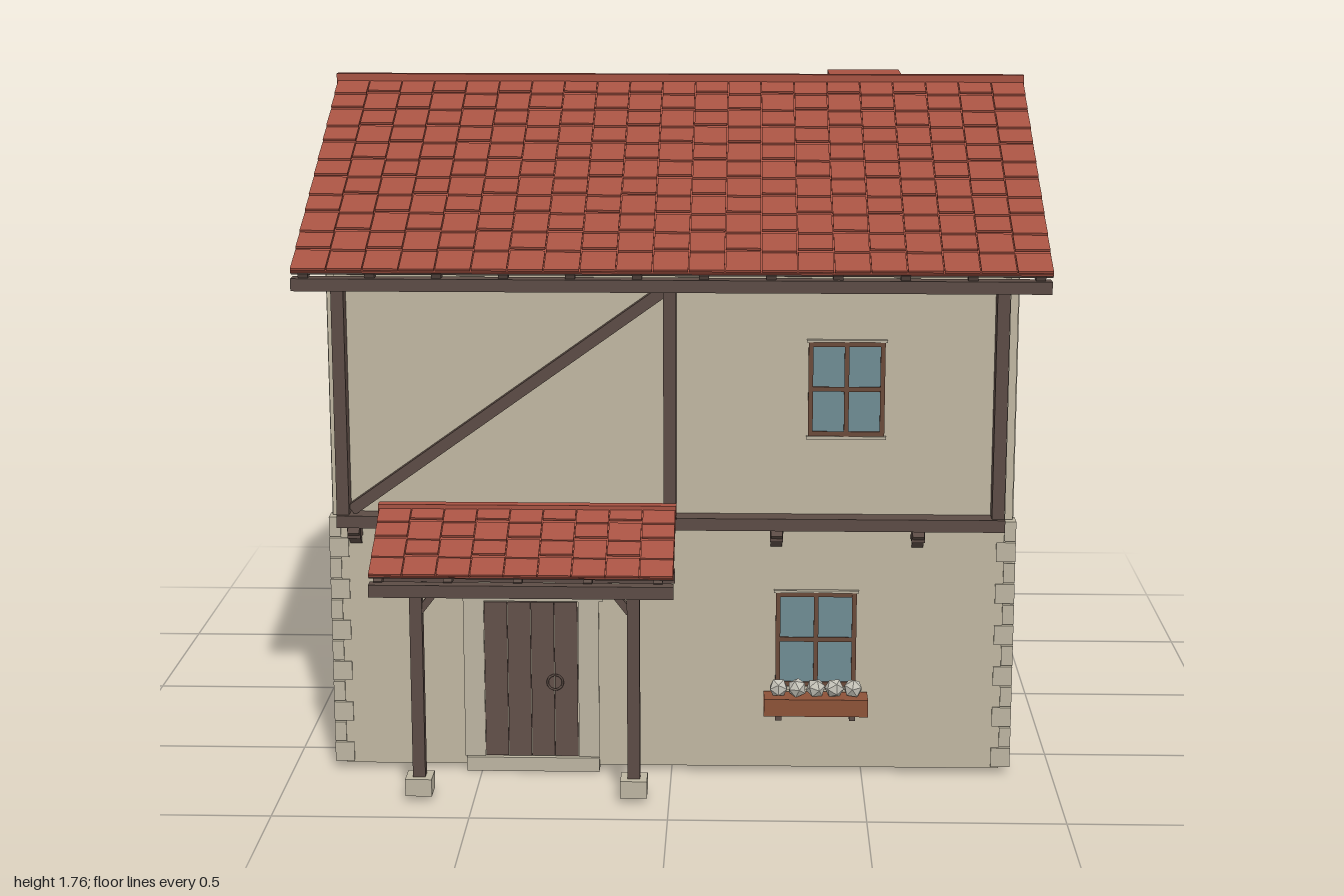
import * as THREE from 'three';
import { mergeGeometries } from 'three/addons/utils/BufferGeometryUtils.js';

const mat = (name, color) => {
  const m = new THREE.MeshStandardMaterial({ color });
  m.name = name;
  return m;
};

export function createModel() {
  const house = new THREE.Group();
  house.name = 'house';
  const plaster = mat('plaster', 0xc0b7a1);
  const stone = mat('stone', 0xbdb5a1);
  const tile = mat('roofTile', 0xa65242);
  const wood = mat('darkWood', 0x5c4c45);
  const doorWood = mat('doorWood', 0x625049);
  const frameWood = mat('frameWood', 0x6a4a3a);
  const glass = mat('glass', 0x6f8c94);
  const planter = mat('planterWood', 0x8c5238);
  const petal = mat('petals', 0xc4c2b8);

  const add = (name, geo, m, parent = house) => {
    const mesh = new THREE.Mesh(geo, m);
    mesh.name = name;
    parent.add(mesh);
    return mesh;
  };
  // Box given by its extents on each axis
  const box = (name, m, x0, x1, y0, y1, z0, z1, parent = house) => {
    const b = add(name, new THREE.BoxGeometry(x1 - x0, y1 - y0, z1 - z0), m, parent);
    b.position.set((x0 + x1) / 2, (y0 + y1) / 2, (z0 + z1) / 2);
    return b;
  };
  // Square timber running between two points
  const beam = (name, a, b, w, h, m = wood) => {
    const p = new THREE.Vector3(...a), q = new THREE.Vector3(...b);
    const mesh = add(name, new THREE.BoxGeometry(w, h, p.distanceTo(q)), m);
    mesh.position.copy(p).add(q).multiplyScalar(0.5);
    mesh.lookAt(q);
    return mesh;
  };

  // Walls: gabled body with slightly proud front and back faces
  const gable = new THREE.Shape([[-0.89, 0.015], [0.62, 0.015], [0.62, 1.37], [-0.14, 1.722], [-0.89, 1.37]]
    .map(p => new THREE.Vector2(...p)));
  const body = new THREE.ExtrudeGeometry(gable, { depth: 1.77, bevelEnabled: false });
  body.rotateY(-Math.PI / 2).translate(0.885, 0, 0);
  add('gabledWalls', body, plaster);
  box('lowerWalls', plaster, -0.86, 0.86, 0.015, 0.69, -0.915, 0.65);
  box('upperWalls', plaster, -0.86, 0.86, 0.69, 1.345, -0.91, 0.66);

  // Corner stones, alternating long and short
  for (const sx of [-1, 1]) for (const [z, sz] of [[0.65, 1], [-0.915, -1]]) {
    for (let i = 0; i < 12; i++) {
      const w = i % 2 ? 0.03 : 0.05, d = i % 2 ? 0.05 : 0.03, y = 0.02 + i * 0.056;
      const q = box('cornerStone', stone, -w / 2, w / 2, y, y + 0.052, -d / 2, d / 2);
      q.position.x = sx * (0.89 - w / 2);
      q.position.z = z + sz * (0.004 - d / 2);
    }
    const strip = box('cornerPlaster', plaster, -0.012, 0.012, 0.69, 1.345, -0.012, 0.012);
    strip.position.x = sx * 0.869;
    strip.position.z = z - sz * 0.024;
  }

  // Tiled slope: local +z runs from the ridge down to the eave
  const slope = (name, x0, x1, [zr, yr], [ze, ye], rows, cols) => {
    const g = new THREE.Group();
    g.name = name;
    const run = Math.abs(ze - zr), len = Math.hypot(run, yr - ye), step = len / rows, w = (x1 - x0) / cols;
    box('roofBoards', wood, x0, x1, -0.012, -0.003, 0, len - 0.01, g);
    box('tileBed', tile, x0, x1, -0.003, 0.002, 0, len - 0.004, g);
    const tiles = [];
    for (let r = 0; r < rows; r++) for (let c = 0; c < cols; c++) {
      const short = (c + r) % 2 && r < rows - 1 ? 0.014 : 0;
      const t = new THREE.BoxGeometry(w * 0.97, 0.006, step * 1.08 - short);
      t.translate(0, 0.004, (step * 1.08 - short) / 2);
      t.rotateX(-0.07);
      t.translate(x0 + (c + 0.5) * w, 0, r * step - step * 0.08);
      tiles.push(t);
    }
    add('tiles', mergeGeometries(tiles), tile, g);
    g.rotation.order = 'YXZ';
    g.rotation.x = Math.atan2(yr - ye, run);
    if (ze < zr) { g.rotation.y = Math.PI; g.scale.x = 1; }
    g.position.set(0, yr, zr);
    house.add(g);
  };
  slope('frontRoof', -0.96, 0.96, [-0.14, 1.743], [0.715, 1.34], 11, 21);
  slope('backRoof', -0.96, 0.96, [-0.14, 1.743], [-0.995, 1.34], 11, 21);
  box('ridgeCap', tile, -0.962, 0.96, 1.735, 1.765, -0.155, -0.125);

  // Eave beams and rafter tails
  box('frontEaveBeam', wood, -0.96, 0.957, 1.293, 1.325, 0.672, 0.715);
  box('backEaveBeam', wood, -0.96, 0.957, 1.293, 1.325, -0.997, -0.957);
  for (let i = 0; i < 12; i++) {
    const x = -0.93 + i * 0.169;
    beam('frontRafter', [x, 1.375, 0.6], [x, 1.325, 0.7], 0.025, 0.024);
    beam('backRafter', [x, 1.38, -0.86], [x, 1.32, -0.985], 0.025, 0.024);
  }

  // Gable timbers
  for (const s of [-1, 1]) {
    const x = s * 0.885;
    box('gableTie', wood, x - 0.015, x + 0.015, 1.345, 1.375, -0.895, 0.62);
    box('gablePost', wood, x - 0.014, x + 0.014, 1.375, 1.72, -0.155, -0.125);
    beam('gableRafter', [x, 1.37, 0.615], [x, 1.717, -0.135], 0.03, 0.026);
    beam('gableRafter', [x, 1.37, -0.895], [x, 1.717, -0.145], 0.03, 0.026);
  }

  // Front timber frame
  for (const x of [-0.845, -0.003, 0.838]) box('wallPost', wood, x - 0.016, x + 0.016, 0.705, 1.32, 0.655, 0.703);
  box('floorBeam', wood, -0.86, 0.855, 0.675, 0.707, 0.64, 0.715);
  beam('diagonalBrace', [-0.825, 0.715, 0.672], [-0.015, 1.295, 0.672], 0.03, 0.03);
  for (let i = 0; i < 5; i++) {
    const x = -0.82 + i * 0.364;
    box('joistEnd', wood, x - 0.017, x + 0.017, 0.64, 0.676, 0.64, 0.69);
    beam('corbel', [x, 0.625, 0.645], [x, 0.665, 0.695], 0.03, 0.02);
  }

  // Door with surround, planks and ring handle
  box('doorStep', stone, -0.54, -0.19, 0, 0.038, 0.6, 0.665);
  box('doorLintel', stone, -0.545, -0.18, 0.465, 0.535, 0.63, 0.657);
  for (const x of [-0.518, -0.217]) box('doorJamb', stone, x - 0.027, x + 0.027, 0.038, 0.465, 0.63, 0.655);
  for (let i = 0; i < 4; i++) {
    const x = -0.49 + i * 0.0613;
    box('doorPlank', doorWood, x, x + 0.06, 0.04, 0.462, 0.64, 0.655);
  }
  add('doorRing', new THREE.TorusGeometry(0.02, 0.003, 6, 20), wood).position.set(-0.305, 0.245, 0.659);

  // Windows
  const windowAt = (x0, x1, y0, y1, z) => {
    const xm = (x0 + x1) / 2, ym = (y0 + y1) / 2, t = 0.006;
    box('windowGlass', glass, x0, x1, y0, y1, z - 0.01, z + 0.004);
    for (const x of [x0 + t, xm, x1 - t]) box('windowUpright', frameWood, x - t, x + t, y0, y1, z, z + 0.009);
    for (const y of [y0 + t, ym, y1 - t]) box('windowRail', frameWood, x0, x1, y - t, y + t, z, z + 0.008);
    box('windowSill', stone, x0 - 0.005, x1 + 0.005, y0 - 0.008, y0, z - 0.01, z + 0.012);
    box('windowHead', stone, x0 - 0.005, x1 + 0.005, y1, y1 + 0.006, z - 0.01, z + 0.012);
  };
  windowAt(0.35, 0.545, 0.915, 1.16, 0.66);
  windowAt(0.272, 0.482, 0.24, 0.495, 0.65);

  // Flower box
  box('flowerBox', planter, 0.242, 0.512, 0.18, 0.226, 0.66, 0.727);
  for (const x of [0.28, 0.472]) box('boxBracket', wood, x - 0.008, x + 0.008, 0.165, 0.181, 0.645, 0.715);
  for (let i = 0; i < 5; i++) {
    const f = add('flower', new THREE.IcosahedronGeometry(0.026, 0), petal);
    f.position.set(0.28 + i * 0.0485, 0.246, 0.69);
    f.rotation.set(i, i * 2, 0);
  }

  // Porch roof
  slope('porchFrontRoof', -0.74, 0.015, [0.768, 0.745], [0.995, 0.625], 4, 9);
  slope('porchBackRoof', -0.015, 0.74, [0.768, 0.745], [0.69, 0.705], 1, 9);
  box('porchRidge', tile, -0.742, 0.016, 0.73, 0.757, 0.753, 0.783);
  box('porchEaveBeam', wood, -0.74, 0.015, 0.575, 0.607, 0.965, 0.998);
  for (let i = 0; i < 5; i++) {
    const x = -0.72 + i * 0.174;
    beam('porchRafter', [x, 0.655, 0.855], [x, 0.6, 0.97], 0.022, 0.022);
  }
  box('porchPlate', wood, -0.74, 0.015, 0.58, 0.61, 0.842, 0.873);

  // Porch posts, feet and braces
  for (const [x, s] of [[-0.64, 1], [-0.09, -1]]) {
    box('porchPost', wood, x - 0.016, x + 0.016, 0.05, 0.61, 0.842, 0.874);
    box('postFoot', stone, x - 0.034, x + 0.034, 0.015, 0.06, 0.825, 0.893);
    beam('wallBrace', [x, 0.595, 0.855], [x, 0.49, 0.65], 0.024, 0.024);
    beam('postBrace', [x + s * 0.01, 0.5, 0.858], [x + s * 0.075, 0.585, 0.858], 0.018, 0.018);
  }

  // Chimney
  box('chimneyStack', stone, 0.455, 0.605, 1.5, 1.65, -0.54, -0.4);
  for (const x of [0.475, 0.585]) for (const z of [-0.525, -0.42]) {
    box('chimneyLeg', stone, x - 0.013, x + 0.013, 1.65, 1.722, z - 0.012, z + 0.012);
  }
  box('chimneyCap', tile, 0.427, 0.637, 1.72, 1.74, -0.578, -0.38);
  return house;
}
